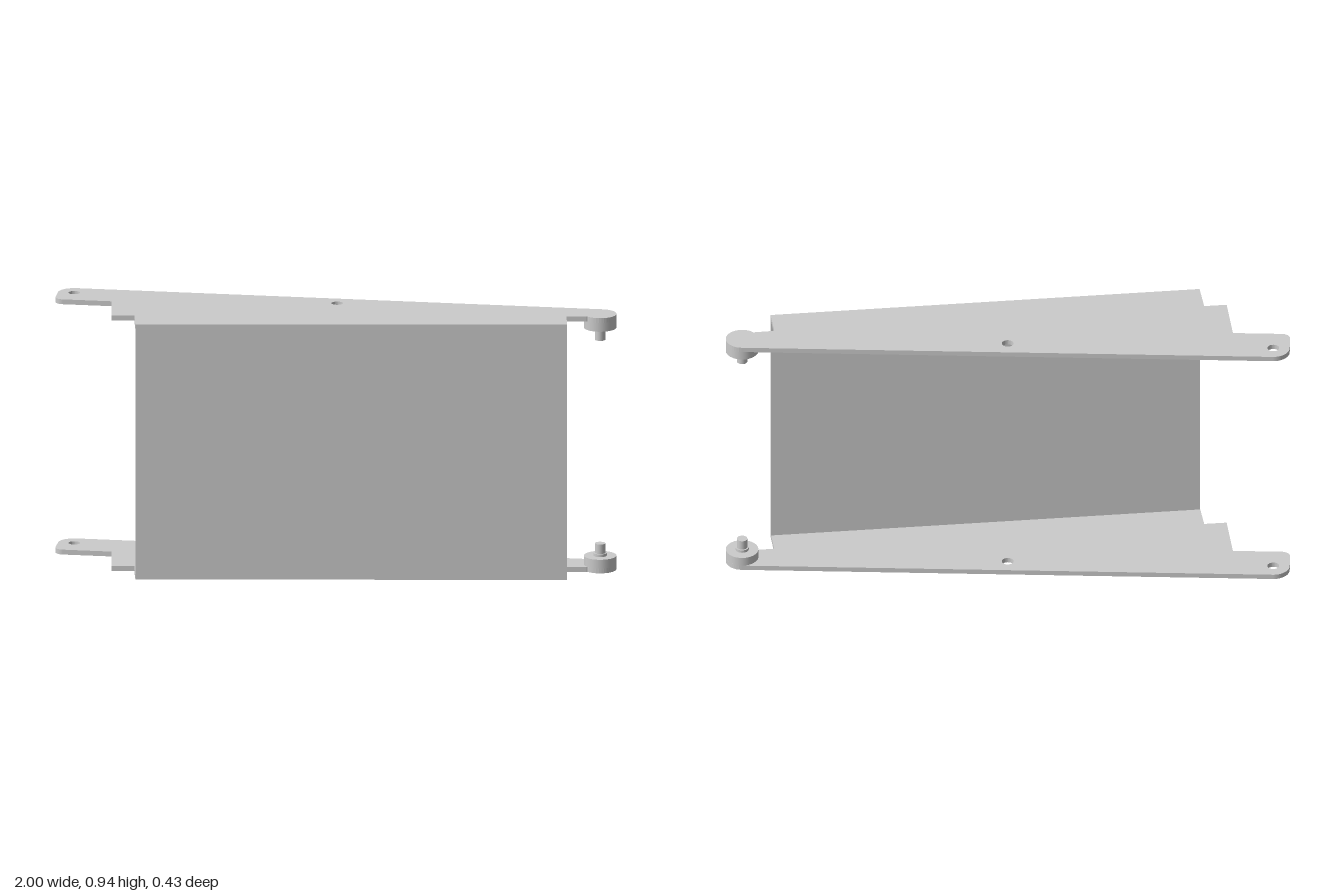
import * as THREE from 'three';

const HEIGHT = 0.94, PLATE = 0.018, WEB = 0.017;
const PIVOT_X = 0.941, PIVOT_Z = -0.159, R = 0.058;

// Extrudes a plan outline (x, -z) upwards from height y
function slab(shape, y, height) {
  const g = new THREE.ExtrudeGeometry(shape, { depth: height, bevelEnabled: false, curveSegments: 12 });
  g.rotateX(-Math.PI / 2);
  g.translate(0, y, 0);
  return g;
}

// Plan of a side plate: rounded ears, notched tail, sloping front edge
function plateShape() {
  const s = new THREE.Shape();
  s.moveTo(-0.668, -0.214);
  s.lineTo(0.845, 0.002);
  s.lineTo(0.829, 0.104);
  s.lineTo(0.897, 0.115);
  s.absarc(PIVOT_X, -PIVOT_Z, R, -2.32, Math.PI / 2, false);
  s.absarc(-PIVOT_X, -PIVOT_Z, R, Math.PI / 2, Math.PI, false);
  s.absarc(-0.969, 0.097, 0.03, Math.PI, Math.PI * 1.5, false);
  s.lineTo(-0.795, 0.067);
  s.lineTo(-0.767, -0.115);
  s.lineTo(-0.688, -0.104);
  s.closePath();
  for (const x of [-PIVOT_X, 0]) {
    s.holes.push(new THREE.Path().absarc(x, -PIVOT_Z, 0.021, 0, Math.PI * 2, true));
  }
  return s;
}

// Plan of the upright panel, a thin strip along the sloping edge
function webShape() {
  const a = new THREE.Vector2(-0.668, -0.214), b = new THREE.Vector2(0.845, 0.002);
  const d = b.clone().sub(a).normalize();
  const n = new THREE.Vector2(-d.y, d.x).multiplyScalar(WEB);
  return new THREE.Shape([a, b, b.clone().add(n), a.clone().add(n)]);
}

export function createModel() {
  const model = new THREE.Group();
  const material = new THREE.MeshStandardMaterial({ color: 0xcccccc });
  const add = (name, geometry) => {
    const mesh = new THREE.Mesh(geometry, material);
    mesh.name = name;
    model.add(mesh);
  };

  add('frontPanel', slab(webShape(), PLATE, HEIGHT - 2 * PLATE));

  for (const top of [false, true]) {
    const side = top ? 'upper' : 'lower';
    add(side + 'Plate', slab(plateShape(), top ? HEIGHT - PLATE : 0, PLATE));

    // Hinge boss, collar and pin stacked on the inner face
    const steps = [['Boss', R, PLATE, 0.05], ['Collar', 0.024, 0.05, 0.06], ['Pin', 0.0187, 0.06, 0.095]];
    for (const [name, radius, from, to] of steps) {
      const g = new THREE.CylinderGeometry(radius, radius, to - from, 24);
      const mid = (from + to) / 2;
      g.translate(PIVOT_X, top ? HEIGHT - mid : mid, PIVOT_Z);
      add(side + name, g);
    }
  }
  return model;
}
